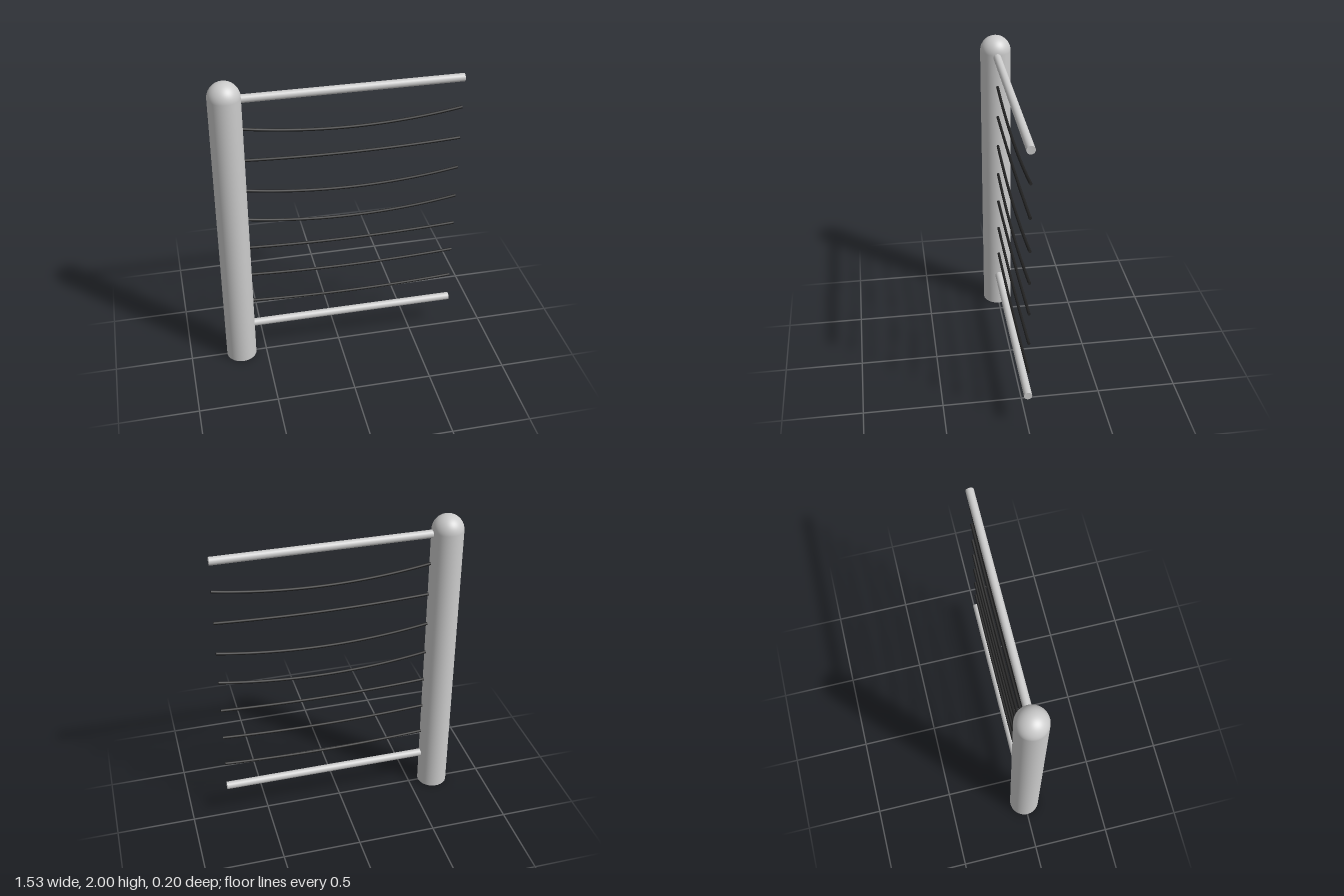
import * as THREE from 'three';

export function createModel() {
  const group = new THREE.Group();
  const grey = new THREE.MeshStandardMaterial({ color: 0xcccccc });
  const black = new THREE.MeshStandardMaterial({ color: 0x222222 });

  const postX = -0.667, postR = 0.098;
  const start = postX + postR - 0.005, end = 0.765;

  const add = (name, geometry, material) => {
    const mesh = new THREE.Mesh(geometry, material);
    mesh.name = name;
    group.add(mesh);
    return mesh;
  };

  // Upright post with a domed top
  const postHeight = 2 - postR;
  add('post', new THREE.CylinderGeometry(postR, postR, postHeight, 48), grey)
    .position.set(postX, postHeight / 2, 0);
  add('postDome', new THREE.SphereGeometry(postR, 48, 16, 0, Math.PI * 2, 0, Math.PI / 2), grey)
    .position.set(postX, postHeight, 0);

  // Straight rails at top and bottom
  for (const [name, y] of [['topRail', 1.887], ['bottomRail', 0.24]]) {
    const rail = add(name, new THREE.CylinderGeometry(0.025, 0.025, end - start, 24), grey);
    rail.rotation.z = Math.PI / 2;
    rail.position.set((start + end) / 2, y, 0);
  }

  // Sagging wires, listed from top to bottom by depth of sag
  const wireR = 0.009;
  [0.057, 0.02, 0.057, 0.057, 0.02, 0.022, 0.022].forEach((sag, i) => {
    const y = 1.69 - i * 0.211;
    const curve = new THREE.QuadraticBezierCurve3(
      new THREE.Vector3(start, y, 0),
      new THREE.Vector3((start + end) / 2, y - 2 * sag, 0),
      new THREE.Vector3(end, y, 0));
    add(`wire${i + 1}`, new THREE.TubeGeometry(curve, 32, wireR, 12), black);

    // Flat cap on the free end
    const cap = add(`wireCap${i + 1}`, new THREE.CircleGeometry(wireR, 12), black);
    cap.position.copy(curve.v2);
    cap.lookAt(curve.v2.clone().add(curve.getTangent(1)));
  });

  return group;
}
